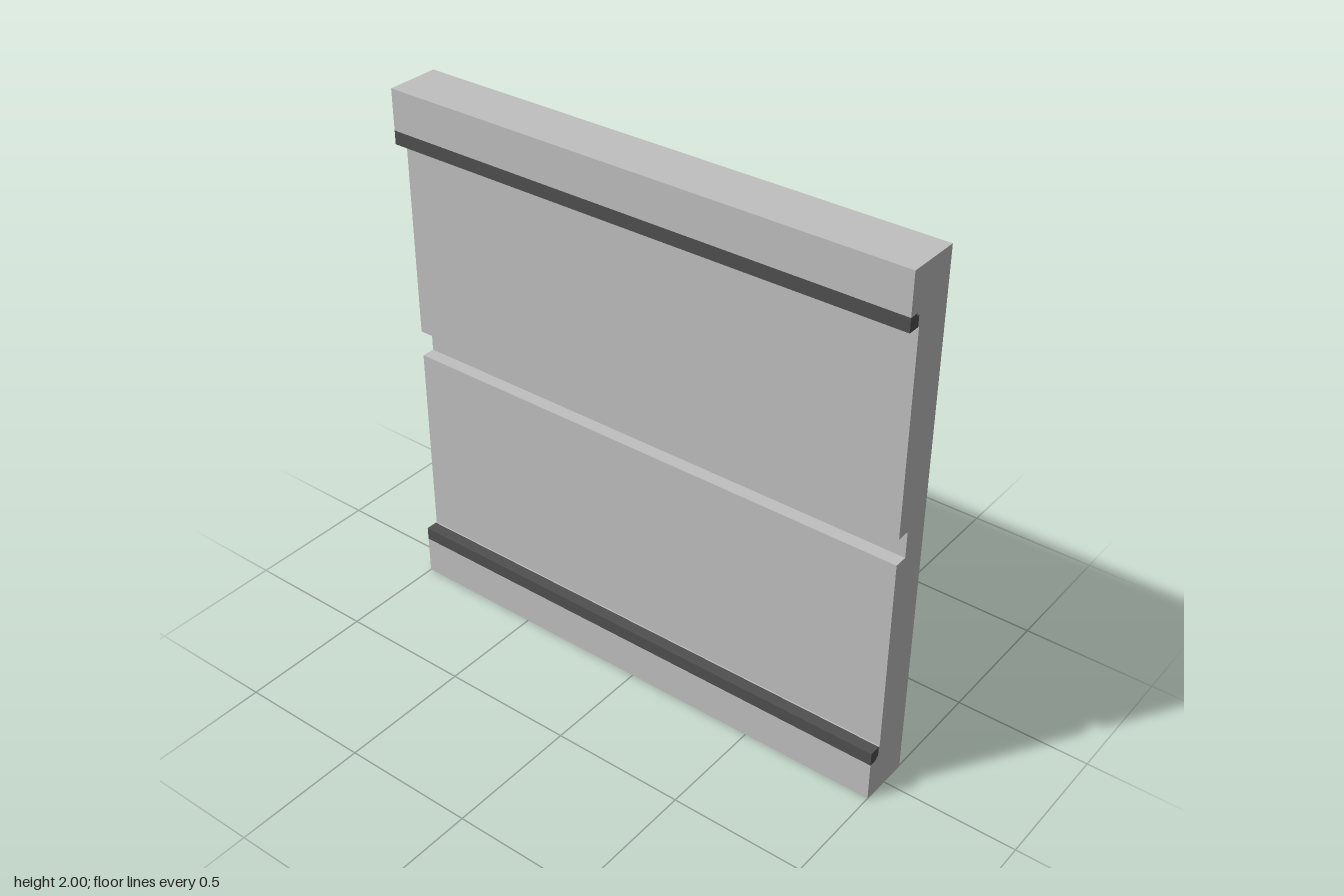
import * as THREE from 'three';

const WIDTH = 2;

// Extrudes a [z, y] cross-section across the full width of the panel
function extrudeAcross(points, material, name) {
  const shape = new THREE.Shape(points.map(([z, y]) => new THREE.Vector2(z, y)));
  const geometry = new THREE.ExtrudeGeometry(shape, { depth: WIDTH, bevelEnabled: false });
  geometry.rotateY(-Math.PI / 2);
  geometry.translate(WIDTH / 2, 0, 0);
  const mesh = new THREE.Mesh(geometry, material);
  mesh.name = name;
  return mesh;
}

// Reflects a cross-section about the panel's mid height
const mirrorUp = (points) => points.map(([z, y]) => [z, 2 - y]).reverse();

export function createModel() {
  const group = new THREE.Group();
  group.name = 'groovedPanel';

  const grey = new THREE.MeshStandardMaterial({ color: 0xc0c0c0 });
  grey.name = 'light grey';
  const dark = new THREE.MeshStandardMaterial({ color: 0x505050 });
  dark.name = 'dark grey';

  // Lower half of the panel: rim, seat for the strip, recessed face, centre groove
  const lowerHalf = [
    [0.1, 0], [0.1, 0.15], [0.065, 0.15], [0.065, 0.16], [0.055, 0.16],
    [0.055, 0.2], [0.05, 0.2], [0.05, 0.95], [0, 0.95],
  ];
  const profile = [[-0.1, 0], ...lowerHalf, ...mirrorUp(lowerHalf), [-0.1, 2]];
  group.add(extrudeAcross(profile, grey, 'panel'));

  // Dark strips lining the inner edges of both rims
  const strip = [
    [0.1, 0.15], [0.1, 0.2], [0.055, 0.2], [0.055, 0.16], [0.065, 0.16], [0.065, 0.15],
  ];
  group.add(extrudeAcross(strip, dark, 'lowerStrip'));
  group.add(extrudeAcross(mirrorUp(strip), dark, 'upperStrip'));

  return group;
}
